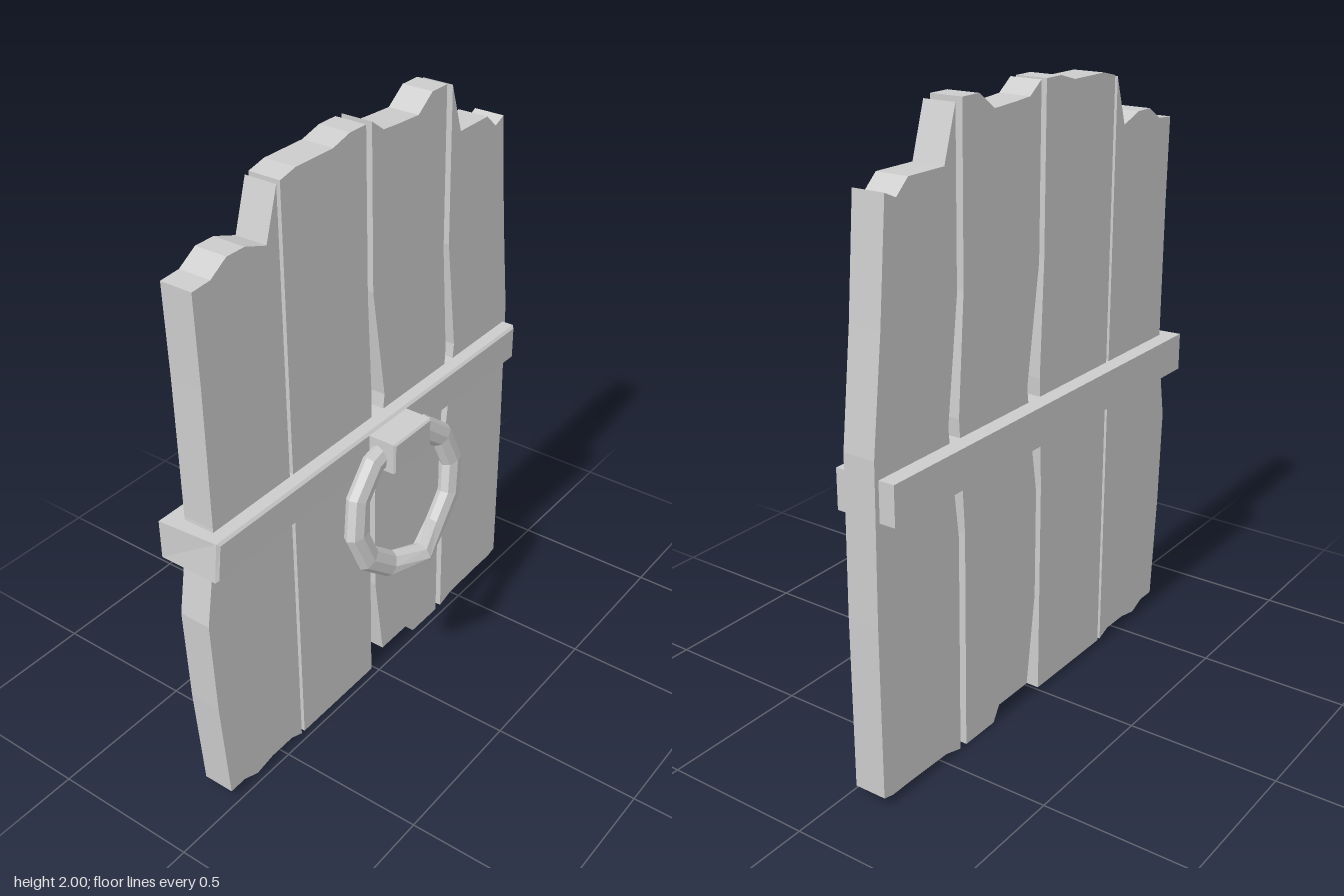
import * as THREE from 'three';

const material = new THREE.MeshStandardMaterial({ color: 0xcccccc, flatShading: true });

// Plank outlines, counter-clockwise from the bottom left corner
const planks = [
  [[-.75, .03], [-.685, .03], [-.625, .005], [-.55, .02], [-.45, .02], [-.4, 0], [-.4, 1.96],
    [-.45, 1.805], [-.535, 1.835], [-.605, 1.835], [-.67, 1.795], [-.74, 1.79], [-.735, 1.5],
    [-.735, 1.05], [-.75, .92], [-.785, .73], [-.775, .4]],
  [[-.385, 0], [-.012, 0], [-.012, .73], [.003, 1.1], [-.012, 1.47], [-.012, 2], [-.085, 2],
    [-.16, 1.98], [-.32, 1.98], [-.385, 1.965]],
  [[.055, .05], [.21, .05], [.24, 0], [.385, 0], [.385, .73], [.41, 1.1], [.385, 1.47], [.385, 2],
    [.31, 2], [.24, 1.95], [.14, 1.955], [.07, 1.96], [.015, 2], [.015, 1.47], [.07, 1.09],
    [.045, .91], [.015, .73], [.015, .36]],
  [[.415, 0], [.485, .02], [.67, .025], [.74, .025], [.78, .035], [.785, .6], [.78, 1.1], [.74, 1.45],
    [.71, 1.805], [.665, 1.785], [.615, 1.83], [.465, 1.83], [.415, 1.99], [.415, 1.47], [.46, 1.09],
    [.44, .92], [.415, .73]],
];

function addMesh(group, name, geometry) {
  const mesh = new THREE.Mesh(geometry, material);
  mesh.name = name;
  group.add(mesh);
}

// Moves every vertex of a geometry by a rule
function reshape(geometry, rule) {
  const pos = geometry.attributes.position;
  const v = new THREE.Vector3();
  for (let i = 0; i < pos.count; i++) {
    rule(v.fromBufferAttribute(pos, i));
    pos.setXYZ(i, v.x, v.y, v.z);
  }
  geometry.computeVertexNormals();
  return geometry;
}

// Box whose front face is drawn in to form a chamfer
function chamferedBox(x0, x1, y0, y1, z0, z1, chamfer) {
  const w = x1 - x0, h = y1 - y0, d = z1 - z0;
  const geometry = new THREE.BoxGeometry(w, h, d, 1, 1, 2);
  reshape(geometry, (v) => {
    if (v.z > d / 4) {
      v.x -= Math.sign(v.x) * chamfer;
      v.y -= Math.sign(v.y) * chamfer;
    } else if (v.z > -d / 4) {
      v.z = d / 2 - chamfer;
    }
  });
  return geometry.translate((x0 + x1) / 2, (y0 + y1) / 2, (z0 + z1) / 2);
}

export function createModel() {
  const door = new THREE.Group();
  door.name = 'plankDoor';

  // Four weathered planks, leaning back very slightly
  planks.forEach((outline, i) => {
    const shape = new THREE.Shape(outline.map(([x, y]) => new THREE.Vector2(x, y)));
    const geometry = new THREE.ExtrudeGeometry(shape, { depth: .107, bevelEnabled: false });
    reshape(geometry, (v) => { v.z += -.132 - .005 * v.y; });
    addMesh(door, `plank${i + 1}`, geometry);
  });

  // Crossbar running through the planks, its left-hand end slightly skewed
  const bar = chamferedBox(-.785, .765, .913, 1.04, -.19, .02, .008);
  reshape(bar, (v) => { if (v.x < 0 && v.y > 1) v.x += .015 * (v.z + .19) / .21; });
  addMesh(door, 'crossbar', bar);

  // Block that holds the ring
  addMesh(door, 'ringMount', chamferedBox(-.077, .117, .925, 1.032, 0, .117, .006));

  // Oval ring hanging forward, its lowest point kicked out
  const ring = new THREE.TorusGeometry(.258, .049, 8, 12).rotateZ(Math.PI / 2);
  reshape(ring, (v) => {
    const bottom = v.y < -.19 && Math.abs(v.x) < .02;
    v.y *= .8;
    v.z = v.z * (bottom ? .75 : .6) + .09 - .175 * v.y + (bottom ? .03 : 0);
  });
  addMesh(door, 'pullRing', ring.translate(.018, .783, 0));

  return door;
}
